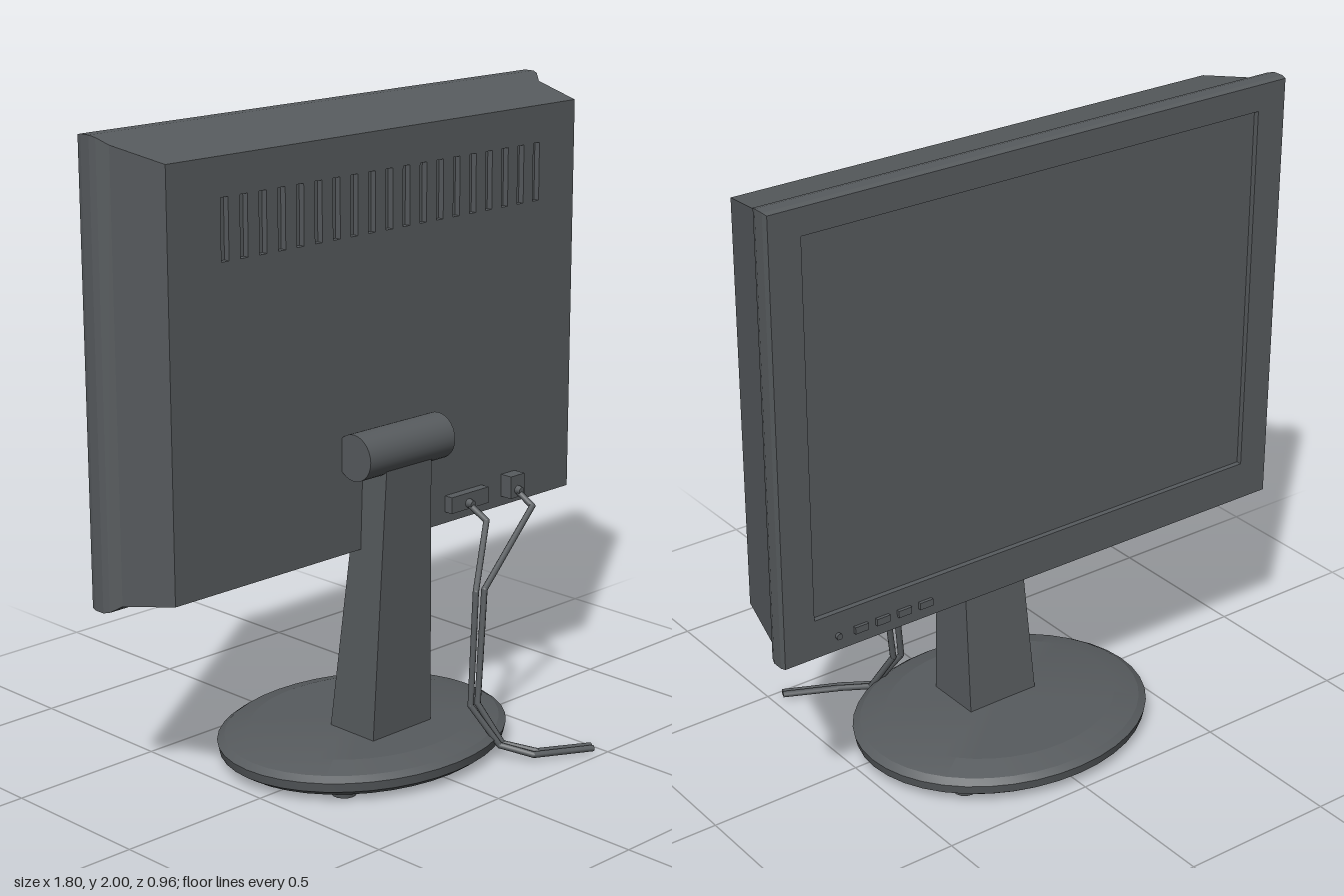
import * as THREE from 'three';
import { toCreasedNormals } from 'three/addons/utils/BufferGeometryUtils.js';

const darkPlastic = new THREE.MeshStandardMaterial({ color: 0x575b5e });
darkPlastic.name = 'darkPlastic';

function add(parent, name, geometry, x = 0, y = 0, z = 0) {
  const mesh = new THREE.Mesh(geometry, darkPlastic);
  mesh.name = name;
  mesh.position.set(x, y, z);
  parent.add(mesh);
  return mesh;
}

const box = (w, h, d) => new THREE.BoxGeometry(w, h, d);

// Rectangle outline, used for plates and for their holes
function trace(path, x0, x1, y0, y1) {
  path.moveTo(x0, y0);
  path.lineTo(x1, y0);
  path.lineTo(x1, y1);
  path.lineTo(x0, y1);
  path.closePath();
  return path;
}

// Plate with rectangular holes, extruded towards +z
function plate(outline, holes, depth) {
  const shape = trace(new THREE.Shape(), ...outline);
  for (const h of holes) shape.holes.push(trace(new THREE.Path(), ...h));
  return new THREE.ExtrudeGeometry(shape, { depth, bevelEnabled: false });
}

// Open shell through rectangular sections [z, halfWidth, bottom, top], from +z to -z
function shell(sections) {
  const rings = sections.map(([z, x, b, t]) => [[-x, b, z], [x, b, z], [x, t, z], [-x, t, z]]);
  const pos = [];
  for (let r = 0; r < rings.length - 1; r++) {
    for (let i = 0; i < 4; i++) {
      const j = (i + 1) % 4;
      const a = rings[r][i], b = rings[r][j], c = rings[r + 1][j], d = rings[r + 1][i];
      pos.push(...a, ...d, ...c, ...a, ...c, ...b);
    }
  }
  const g = new THREE.BufferGeometry();
  g.setAttribute('position', new THREE.Float32BufferAttribute(pos, 3));
  g.computeVertexNormals();
  return g;
}

// Cable made of straight runs with round joints
function cable(parent, name, points, radius) {
  const group = new THREE.Group();
  group.name = name;
  parent.add(group);
  const pts = points.map((p) => new THREE.Vector3(...p));
  for (let i = 0; i < pts.length - 1; i++) {
    const dir = pts[i + 1].clone().sub(pts[i]);
    const mid = pts[i].clone().addScaledVector(dir, 0.5);
    const run = add(group, 'cableRun', new THREE.CylinderGeometry(radius, radius, dir.length(), 8), mid.x, mid.y, mid.z);
    run.quaternion.setFromUnitVectors(new THREE.Vector3(0, 1, 0), dir.normalize());
    if (i > 0) add(group, 'cableJoint', new THREE.SphereGeometry(radius, 8, 6), ...points[i]);
  }
}

export function createModel() {
  const model = new THREE.Group();
  model.name = 'monitor';

  // Housing: tapered rear and stepped rim
  const housing = new THREE.Group();
  housing.name = 'housing';
  model.add(housing);
  add(housing, 'housingShell', shell([
    [0.025, 0.83, 0.69, 1.94],
    [-0.16, 0.87, 0.655, 1.975],
    [-0.19, 0.893, 0.635, 1.995],
    [-0.21, 0.9, 0.63, 2.0],
    [-0.245, 0.9, 0.63, 2.0],
    [-0.262, 0.896, 0.633, 1.996],
  ]));

  // Rear panel with a row of vent slots
  const slots = [];
  for (let i = 0; i < 19; i++) {
    const x = -0.623 + i * 0.071;
    slots.push([x - 0.014, x + 0.014, 1.645, 1.825]);
  }
  add(housing, 'rearPanel', plate([-0.83, 0.83, 0.69, 1.94], slots, 0.02), 0, 0, 0.005);
  add(housing, 'ventFloor', new THREE.PlaneGeometry(1.4, 0.24), 0.016, 1.735, 0.006);

  // Screen side: bezel, recessed screen
  add(housing, 'bezel', plate([-0.896, 0.896, 0.633, 1.996], [[-0.795, 0.795, 0.755, 1.915]], 0.02), 0, 0, -0.262);
  add(housing, 'screen', box(1.62, 1.19, 0.01), 0, 1.335, -0.24);

  // Buttons and power light below the screen
  for (let i = 0; i < 4; i++) {
    add(housing, 'button', box(0.045, 0.022, 0.02), 0.417 + i * 0.075, 0.68, -0.262);
  }
  const light = add(housing, 'powerLight', new THREE.CylinderGeometry(0.01, 0.01, 0.02, 10), 0.718, 0.68, -0.262);
  light.rotation.x = Math.PI / 2;

  // Stand: oval base
  const stand = new THREE.Group();
  stand.name = 'stand';
  model.add(stand);
  const profile = [[0, 0.015], [0.92, 0.015], [0.985, 0.035], [1, 0.065], [0.95, 0.08], [0.78, 0.1], [0, 0.102]];
  const baseGeo = new THREE.LatheGeometry(profile.map(([r, y]) => new THREE.Vector2(r, y)), 40);
  baseGeo.scale(0.487, 1, 0.405);
  add(stand, 'base', toCreasedNormals(baseGeo, 0.25), 0, 0, -0.073);
  for (const x of [-0.298, 0.298]) {
    for (const z of [0.15, -0.29]) {
      add(stand, 'foot', new THREE.CylinderGeometry(0.042, 0.038, 0.02, 14), x, 0.01, z);
    }
  }

  // Tapered column, leaning back into the hinge
  const columnGeo = box(2, 1, 1);
  const p = columnGeo.attributes.position;
  for (let i = 0; i < p.count; i++) {
    const top = p.getY(i) > 0, rear = p.getZ(i) > 0;
    const z = top ? (rear ? 0.126 : 0.015) : (rear ? 0.098 : -0.088);
    p.setXYZ(i, p.getX(i) * (top ? 0.093 : 0.125), top ? 0.99 : 0.09, z);
  }
  columnGeo.computeVertexNormals();
  add(stand, 'column', columnGeo);
  const hinge = add(stand, 'hinge', new THREE.CylinderGeometry(0.071, 0.071, 0.356, 28), -0.002, 1.0, 0.074);
  hinge.rotation.z = Math.PI / 2;

  // Plugs on the rear panel and their cables
  add(model, 'videoPlug', box(0.165, 0.052, 0.04), 0.342, 0.752, 0.035);
  add(model, 'powerPlug', box(0.063, 0.072, 0.055), 0.546, 0.757, 0.04);
  for (const [x, z] of [[0.335, 0.06], [0.546, 0.07]]) {
    const relief = add(model, 'plugCollar', new THREE.CylinderGeometry(0.011, 0.017, 0.03, 10), x, 0.745, z);
    relief.rotation.x = Math.PI / 2;
  }
  cable(model, 'videoCable', [
    [0.335, 0.745, 0.05], [0.335, 0.705, 0.13], [0.215, 0.52, 0.2], [0.167, 0.17, 0.228],
    [0.222, 0.045, 0.3], [0.285, 0.02, 0.385], [0.462, 0.016, 0.473],
  ], 0.01);
  cable(model, 'powerCable', [
    [0.546, 0.745, 0.06], [0.546, 0.705, 0.13], [0.25, 0.52, 0.203], [0.196, 0.17, 0.23],
    [0.24, 0.045, 0.295], [0.31, 0.022, 0.378], [0.468, 0.018, 0.458],
  ], 0.01);

  return model;
}
